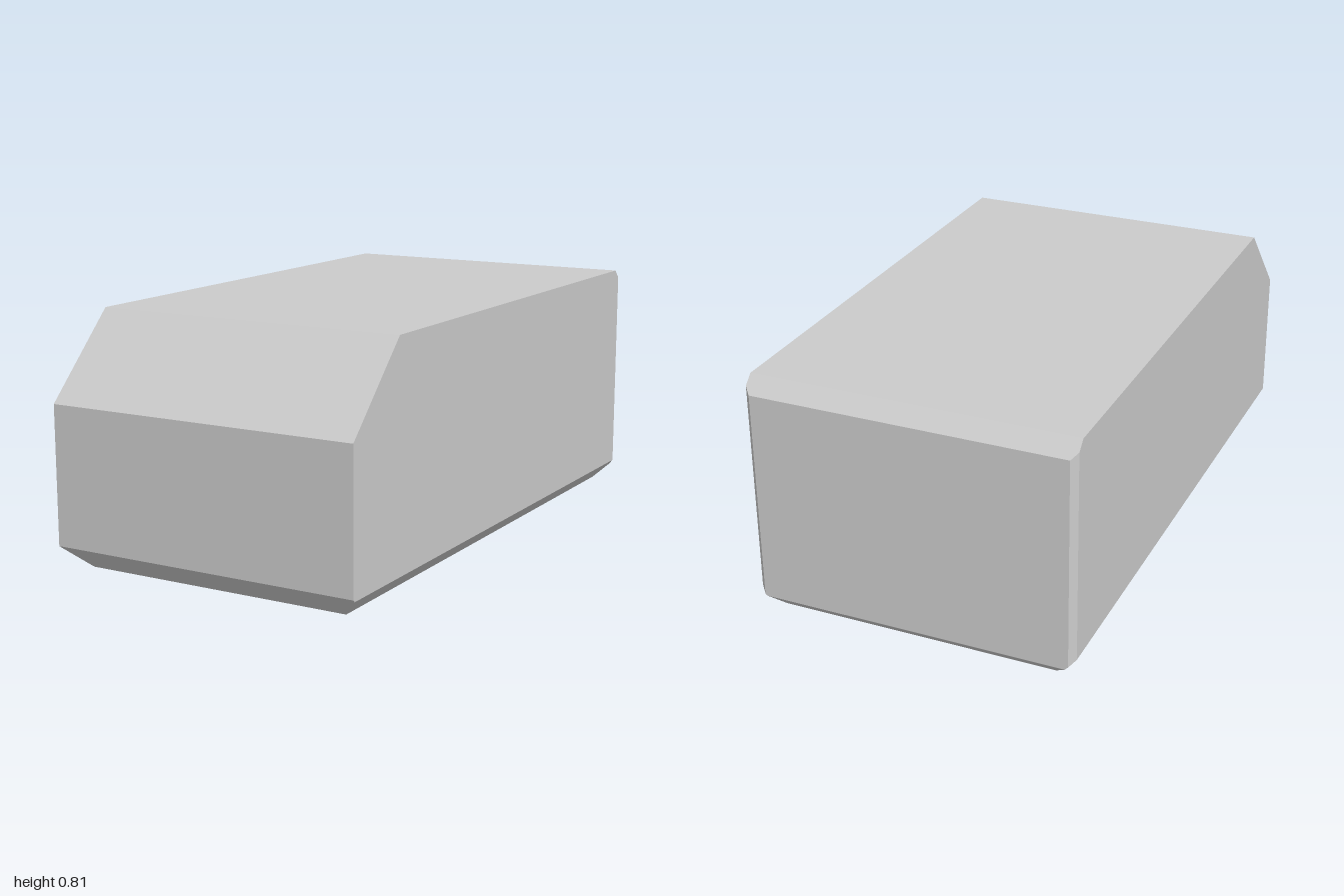
import * as THREE from 'three';
import { ConvexGeometry } from 'three/addons/geometries/ConvexGeometry.js';

// Solid bounded by planes a*x + b*y + c*z <= d, given as [a, b, c, d]
function solidFromPlanes(planes) {
  const points = [];
  const m = new THREE.Matrix3();
  for (let i = 0; i < planes.length; i++)
    for (let j = i + 1; j < planes.length; j++)
      for (let k = j + 1; k < planes.length; k++) {
        const [p, q, r] = [planes[i], planes[j], planes[k]];
        m.set(p[0], p[1], p[2], q[0], q[1], q[2], r[0], r[1], r[2]);
        if (Math.abs(m.determinant()) < 1e-6) continue;
        const v = new THREE.Vector3(p[3], q[3], r[3]).applyMatrix3(m.invert());
        const inside = planes.every(([a, b, c, d]) => a * v.x + b * v.y + c * v.z <= d + 1e-6);
        if (inside && !points.some((o) => o.distanceTo(v) < 1e-5)) points.push(v);
      }
  return new ConvexGeometry(points);
}

export function createModel() {
  const group = new THREE.Group();
  group.name = 'chamferedBlock';

  const geometry = solidFromPlanes([
    // main faces: left, right, top, bottom, front, back
    [1, 0, 0, 0.541], [-1, 0, 0, 0.541],
    [0, 1, 0, 0.808], [0, -1, 0, 0],
    [0, 0, 1, 1], [0, 0, -1, 1],
    // large slope at the top of the front
    [0, 1, 1, 1.538],
    // lower chamfers: front, left, right, back
    [0, -1, 1, 0.923], [1, -1, 0, 0.471], [-1, -1, 0, 0.465], [0, -1, -1, 0.955],
    // small chamfers around the back: top, left, right
    [0, 1, -1, 1.758], [1, 0, -1, 1.521], [-1, 0, -1, 1.521],
  ]);

  const block = new THREE.Mesh(
    geometry,
    new THREE.MeshStandardMaterial({ color: 0xcccccc, flatShading: true })
  );
  block.name = 'block';
  group.add(block);
  return group;
}
